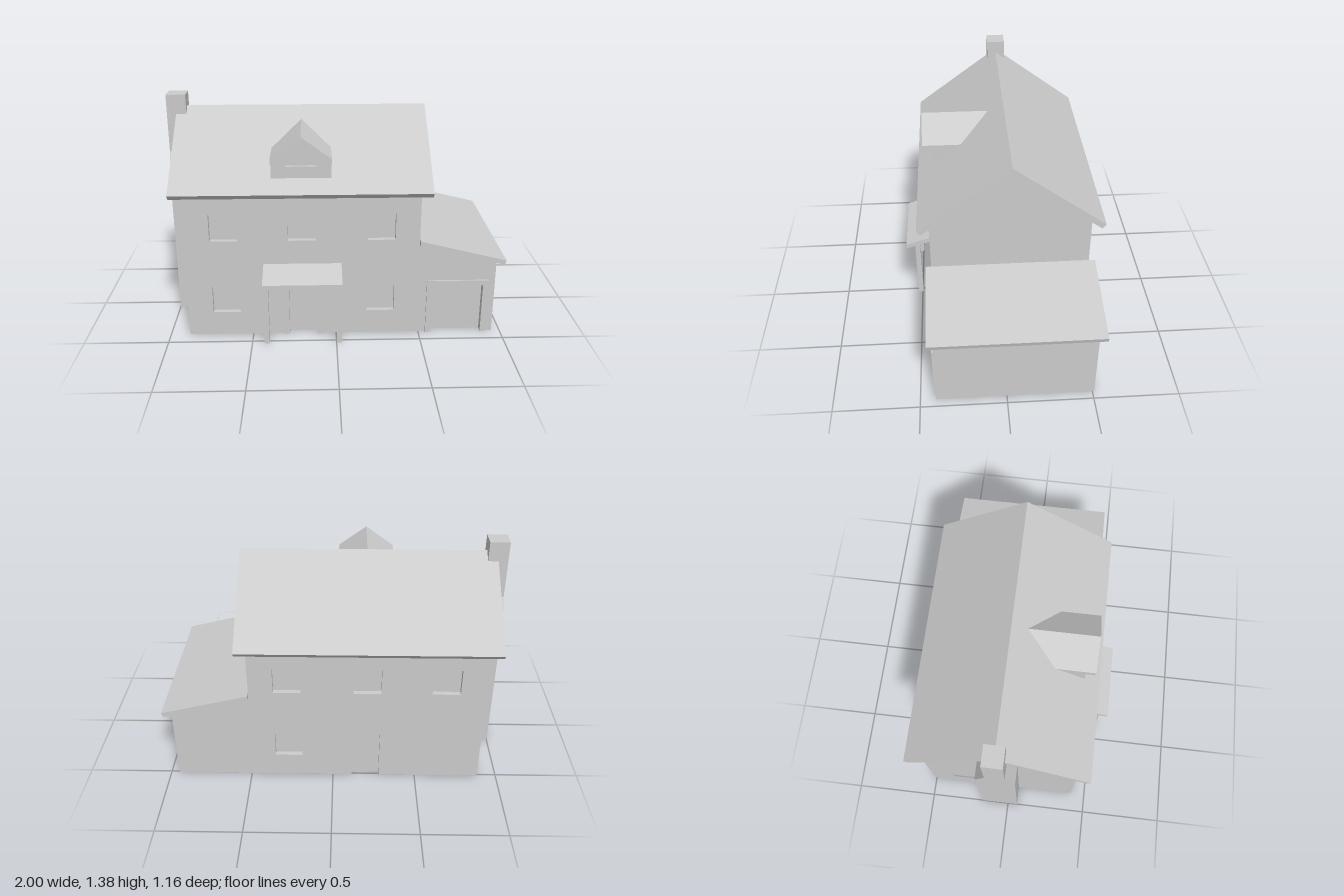
import * as THREE from 'three';

export function createModel() {
  const house = new THREE.Group();
  house.name = 'house';
  const material = new THREE.MeshStandardMaterial({ color: 0xcccccc, flatShading: true });

  const add = (name, geometry, parent = house) => {
    const mesh = new THREE.Mesh(geometry, material);
    mesh.name = name;
    parent.add(mesh);
    return mesh;
  };
  const outline = (pts, holes = []) => {
    const shape = new THREE.Shape(pts.map(p => new THREE.Vector2(p[0], p[1])));
    for (const h of holes) shape.holes.push(new THREE.Path(h.map(p => new THREE.Vector2(p[0], p[1]))));
    return shape;
  };
  // (x, y) profile swept from z0 to z1
  const alongZ = (pts, z0, z1, holes) =>
    new THREE.ExtrudeGeometry(outline(pts, holes), { depth: z1 - z0, bevelEnabled: false }).translate(0, 0, z0);
  // (z, y) profile swept from x0 to x1
  const alongX = (pts, x0, x1, holes = []) => {
    const flip = list => list.map(([z, y]) => [-z, y]);
    return new THREE.ExtrudeGeometry(outline(flip(pts), holes.map(flip)), { depth: x1 - x0, bevelEnabled: false })
      .rotateY(Math.PI / 2).translate(x0, 0, 0);
  };
  const rect = (a, b, c, d) => [[a, c], [b, c], [b, d], [a, d]];

  const L = -0.885, R = 0.49, GR = 0.95;            // house left/right, garage right
  const F = 0.41, B = -0.51, RIDGE = -0.05, T = 0.03; // front, back, ridge, recess depth
  const soffit = z => 1.275 - 0.74 * Math.abs(z - RIDGE);
  const gable = (z0, z1) => [[z0, 0], [z1, 0], [z1, soffit(z1)], [RIDGE, 1.275], [z0, soffit(z0)]];
  const garageTop = x => 0.59 - 0.245 * (x - R);

  // Solid cores behind the recessed openings
  add('houseBody', alongX(gable(B + T, F - T), L + T, R));
  add('garageBody', alongZ([[R, 0], [GR, 0], [GR, garageTop(GR)], [R, garageTop(R)]], B + T, F - T));

  // Front and back wall skins, pierced by windows and notched by doors
  const columns = [-0.735, -0.28, 0.185], W = 0.162;
  const windowHole = (x, y) => rect(x, x + W, y, y + 0.165);
  const windows = (upper, lower) =>
    [...upper.map(x => windowHole(x, 0.612)), ...lower.map(x => windowHole(x, 0.15))];
  const wallSkin = doors => {
    const pts = [[L, 0]];
    for (const [a, b] of doors) pts.push([a, 0], [a, 0.315], [b, 0.315], [b, 0]);
    pts.push([GR, 0], [GR, garageTop(GR)], [R, garageTop(R)], [R, 0.94], [L, 0.94]);
    return pts;
  };
  const door = [-0.28, -0.115], garageDoor = [0.575, 0.878];
  add('frontWall', alongZ(wallSkin([door, garageDoor]), F - T, F, windows(columns, [columns[0], columns[2]])));
  add('backWall', alongZ(wallSkin([door]), B, B + T, windows(columns, [columns[2]])));

  // Left gable skin with its window
  add('leftWall', alongX(gable(B + T, F - T), L, L + T, [rect(-0.37, -0.205, 0.15, 0.315)]));

  // Raised door surrounds
  const surround = (name, [a, b], w) => add(name, alongZ(
    [[a - w, 0], [a, 0], [a, 0.315], [b, 0.315], [b, 0], [b + w, 0], [b + w, 0.345], [a - w, 0.345]], F - 0.005, F + 0.011));
  surround('doorFrame', door, 0.032);
  surround('garageDoorFrame', garageDoor, 0.033);

  // Main pitched roof with square-cut eaves
  add('mainRoof', alongX([
    [0.478, 0.918], [RIDGE, 1.31], [-0.578, 0.918],
    [-0.556, 0.89], [RIDGE, 1.27], [0.456, 0.89],
  ], -0.945, 0.55));

  // Lean-to garage roof
  add('garageRoof', alongZ([[R, 0.612], [1, 0.485], [0.992, 0.457], [R, 0.581]], -0.547, 0.443));

  // Chimney with sloping shoulders
  add('chimney', alongX([
    [0.06, 0], [0.06, 0.92], [0.005, 1.035], [0.005, 1.385],
    [-0.108, 1.385], [-0.108, 1.035], [-0.168, 0.92], [-0.168, 0],
  ], -1, L + 0.001));

  // Porch: sloping canopy on two posts
  const porch = new THREE.Group();
  porch.name = 'porch';
  house.add(porch);
  add('porchRoof', alongX([[F, 0.465], [0.582, 0.41], [0.582, 0.38], [F, 0.432]], -0.427, 0.032), porch);
  for (const x of [-0.412, 0.017])
    add('porchPost', new THREE.BoxGeometry(0.03, 0.41, 0.032).translate(x, 0.205, 0.511), porch);

  // Dormer with a triangular recessed window
  const dormer = new THREE.Group();
  dormer.name = 'dormer';
  dormer.position.x = -0.197;
  house.add(dormer);
  const H = 0.172;
  const dormerWall = [[-H, 0.97], [H, 0.97], [H, 1.09], [0, 1.215], [-H, 1.09]];
  add('dormerBody', alongZ(dormerWall, 0.06, 0.36), dormer);
  add('dormerFront', alongZ(dormerWall, 0.36, 0.385, [[[-0.092, 1.055], [0.092, 1.055], [0, 1.125]]]), dormer);
  add('dormerRoof', alongZ(
    [[-H - 0.001, 1.08], [0, 1.207], [H + 0.001, 1.08], [H + 0.001, 1.115], [0, 1.243], [-H - 0.001, 1.115]], 0.04, 0.442), dormer);

  return house;
}
